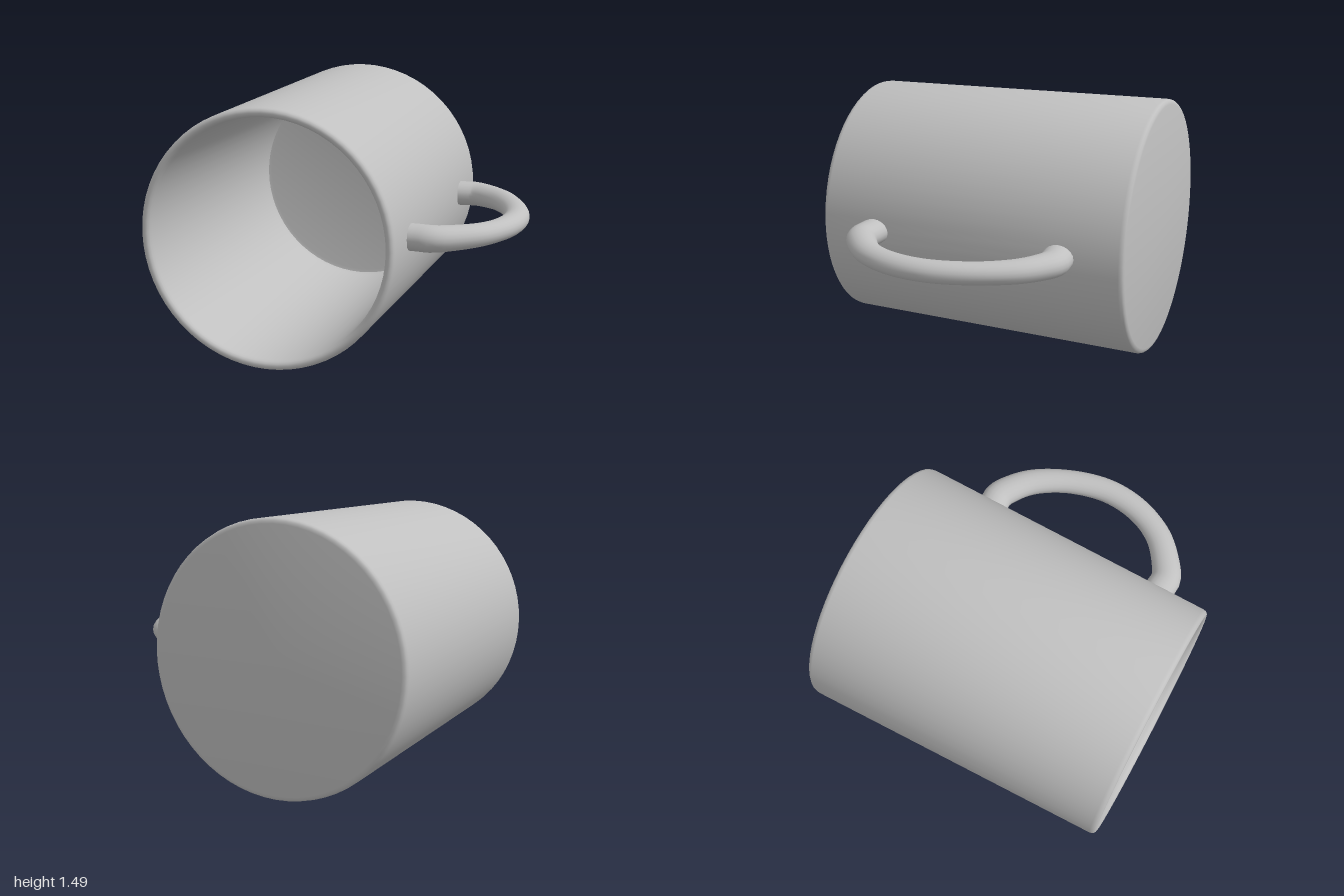
import * as THREE from 'three';
import { toCreasedNormals } from 'three/addons/utils/BufferGeometryUtils.js';

const AXIS_X = -0.258, AXIS_Y = 0.745;

// Closed base, tapered outer wall, rounded rim, inner wall and floor
function cupGeometry() {
  const profile = [
    [0, -0.915], [0.715, -0.915], [0.731, -0.911], [0.74, -0.902], [0.744, -0.885],
    [0.713, 0.885], [0.709, 0.902], [0.699, 0.912], [0.687, 0.915],
    [0.675, 0.911], [0.666, 0.9], [0.662, 0.88],
    [0.66, -0.8], [0.65, -0.825], [0.63, -0.83], [0, -0.83],
  ].map(([r, h]) => new THREE.Vector2(r, h));
  return toCreasedNormals(new THREE.LatheGeometry(profile, 64), 0.6).rotateX(Math.PI / 2);
}

// Oval tube, thicker where it meets the wall
function handleGeometry() {
  const path = new THREE.CatmullRomCurve3([
    [0.42, -0.54], [0.5, -0.547], [0.575, -0.55], [0.655, -0.507], [0.76, -0.41], [0.87, -0.21],
    [0.925, 0.03], [0.895, 0.25], [0.8, 0.43], [0.655, 0.553], [0.575, 0.592], [0.5, 0.587], [0.42, 0.58],
  ].map(([x, z]) => new THREE.Vector3(x, 0, z)));
  const steps = 60, sides = 20;
  const geo = new THREE.TubeGeometry(path, steps, 1, sides);
  const pos = geo.attributes.position, v = new THREE.Vector3();
  for (let i = 0; i <= steps; i++) {
    const centre = path.getPointAt(i / steps);
    const t = Math.min(1, Math.max(0, (centre.x - 0.56) / 0.3));
    const wide = THREE.MathUtils.lerp(0.09, 0.074, t);
    const tall = THREE.MathUtils.lerp(0.073, 0.061, t);
    for (let j = 0; j <= sides; j++) {
      const k = i * (sides + 1) + j;
      v.fromBufferAttribute(pos, k).sub(centre);
      pos.setXYZ(k, centre.x + v.x * wide, v.y * tall, centre.z + v.z * wide);
    }
  }
  return toCreasedNormals(geo, 1.2);
}

export function createModel() {
  const group = new THREE.Group();
  group.name = 'mug';
  const grey = new THREE.MeshStandardMaterial({ color: 0xc0c0c0 });
  grey.name = 'grey';

  const cup = new THREE.Mesh(cupGeometry(), grey);
  cup.name = 'cup';
  cup.position.set(AXIS_X, AXIS_Y, 0);

  const handle = new THREE.Mesh(handleGeometry(), grey);
  handle.name = 'handle';
  handle.position.y = 0.75;

  group.add(cup, handle);
  return group;
}
